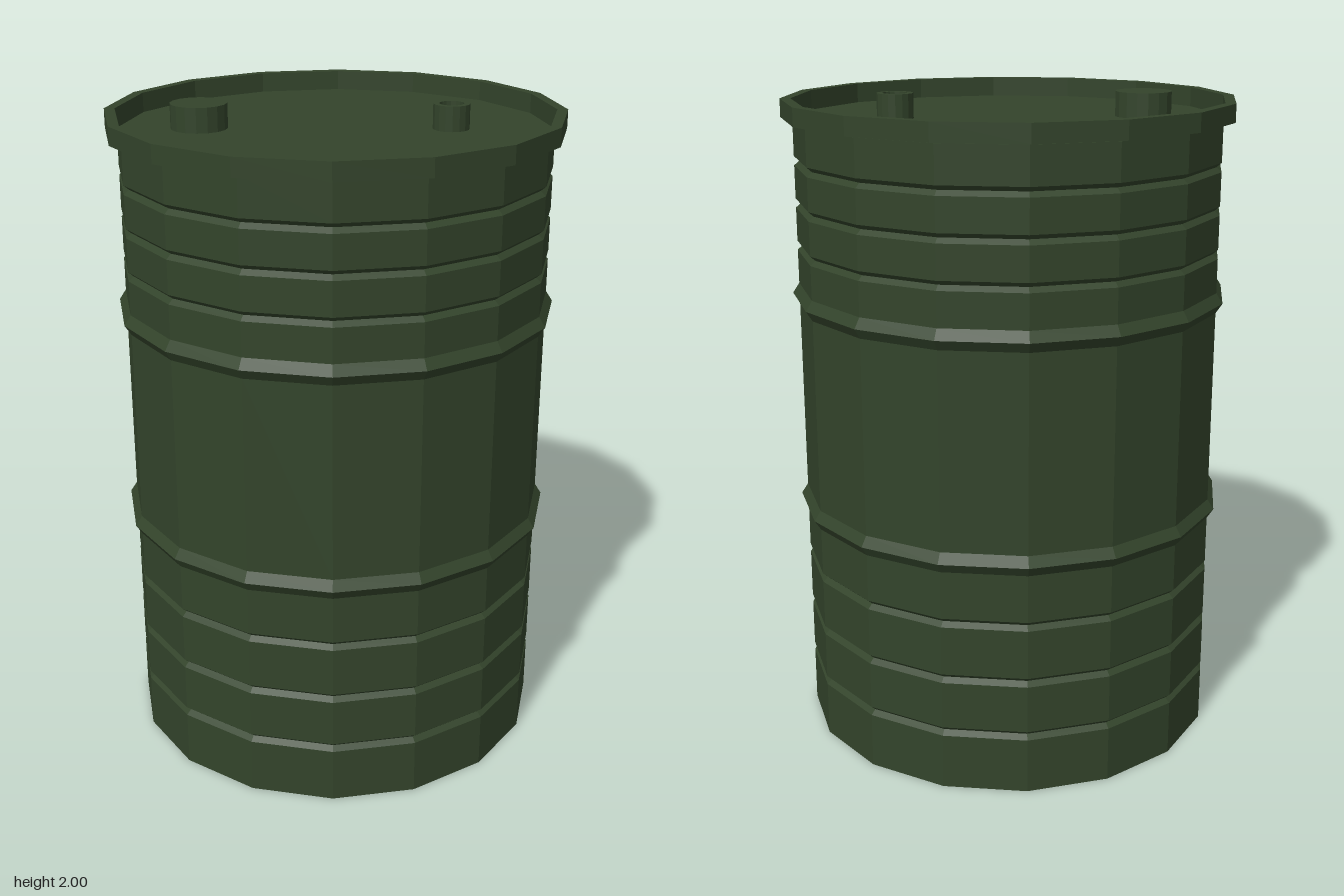
import * as THREE from 'three';

const SIDES = 16;
const BODY_R = 0.652;

export function createModel() {
  const group = new THREE.Group();
  const paint = new THREE.MeshStandardMaterial({ color: 0x33442b, flatShading: true });

  // Revolve a list of [radius, height] pairs, running bottom to top on the outside
  const addLathe = (name, profile, x = 0, z = 0) => {
    const points = profile.map(([r, y]) => new THREE.Vector2(r, y));
    const mesh = new THREE.Mesh(new THREE.LatheGeometry(points, SIDES), paint);
    mesh.name = name;
    mesh.position.set(x, 0, z);
    group.add(mesh);
  };

  // Grooves dip inward, rolling hoops bulge outward: [height, half height, peak radius]
  const groove = y => [y, 0.014, 0.636];
  const hoop = y => [y, 0.031, 0.672];
  const bands = [
    groove(0.185), groove(0.36), groove(0.54), hoop(0.732),
    hoop(1.393), groove(1.542), groove(1.672), groove(1.8),
  ];
  const wall = bands.flatMap(([y, h, r]) => [[BODY_R, y - h], [r, y], [BODY_R, y + h]]);

  // Drum wall with closed base
  addLathe('drumBody', [[0, 0], [BODY_R, 0], ...wall, [BODY_R, 1.93]]);

  // Raised rim around the recessed lid
  addLathe('rimAndLid', [
    [BODY_R, 1.93], [0.687, 1.93], [0.687, 1.985], [0.655, 1.985], [0.655, 1.925], [0, 1.925],
  ]);

  // Large solid bung
  addLathe('largeBung', [[0.086, 1.925], [0.086, 2], [0, 2]], -0.407, -0.013);

  // Small bung with a hollow top
  addLathe('smallBung', [
    [0.055, 1.925], [0.055, 2], [0.037, 2], [0.037, 1.965], [0, 1.965],
  ], 0.344, -0.013);

  return group;
}
